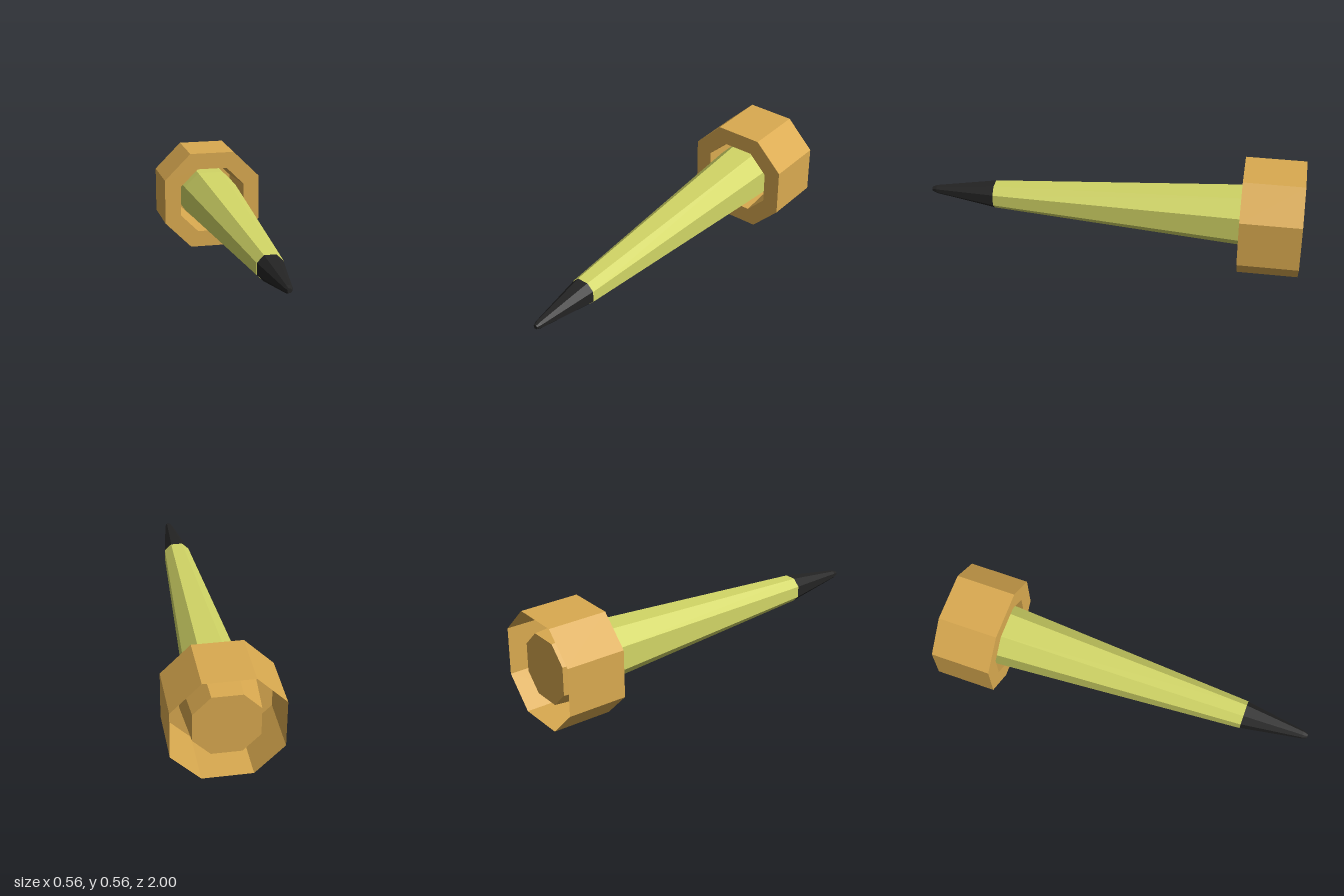
import * as THREE from 'three';

const CENTRE_Y = 0.28;
const CORNER = 0.46; // half length of an axis-aligned edge relative to the apothem

// Eight-sided sweep along z; profile is a list of [apothem, z] from back to front.
function octagonSweep(name, profile, color) {
  const points = profile.map(([a, z]) => new THREE.Vector2(a, z));
  const geometry = new THREE.LatheGeometry(points, 8, Math.PI / 8);
  geometry.rotateX(Math.PI / 2);
  const pos = geometry.attributes.position;
  for (let i = 0; i < pos.count; i++) {
    const x = pos.getX(i), y = pos.getY(i);
    const a = Math.hypot(x, y);
    const wide = Math.abs(x) > Math.abs(y);
    pos.setXY(i,
      Math.sign(x) * a * (wide ? 1 : CORNER),
      Math.sign(y) * a * (wide ? CORNER : 1));
  }
  geometry.computeVertexNormals();
  const material = new THREE.MeshStandardMaterial({ color, flatShading: true, side: THREE.DoubleSide });
  const mesh = new THREE.Mesh(geometry, material);
  mesh.name = name;
  mesh.position.y = CENTRE_Y;
  return mesh;
}

export function createModel() {
  const model = new THREE.Group();
  model.name = 'taperedSpike';

  // Thin collar, open at the back: outer wall, front ring, then a tapering cup with a floor
  model.add(octagonSweep('collar', [
    [0.28, -1], [0.28, -0.68], [0.187, -0.68], [0.167, -0.96], [0, -0.96],
  ], 0xdaaa50));

  // Long shaft, straight where it sits in the cup
  const shaft = octagonSweep('shaft', [
    [0.149, -0.957], [0.149, -0.74], [0.067, 0.65],
  ], 0xd2d666);
  shaft.scale.x = 1.02;
  model.add(shaft);

  // Dark point with a small bevelled end
  model.add(octagonSweep('tip', [
    [0.067, 0.65], [0.02, 0.975], [0.011, 1], [0, 1],
  ], 0x242424));

  return model;
}
